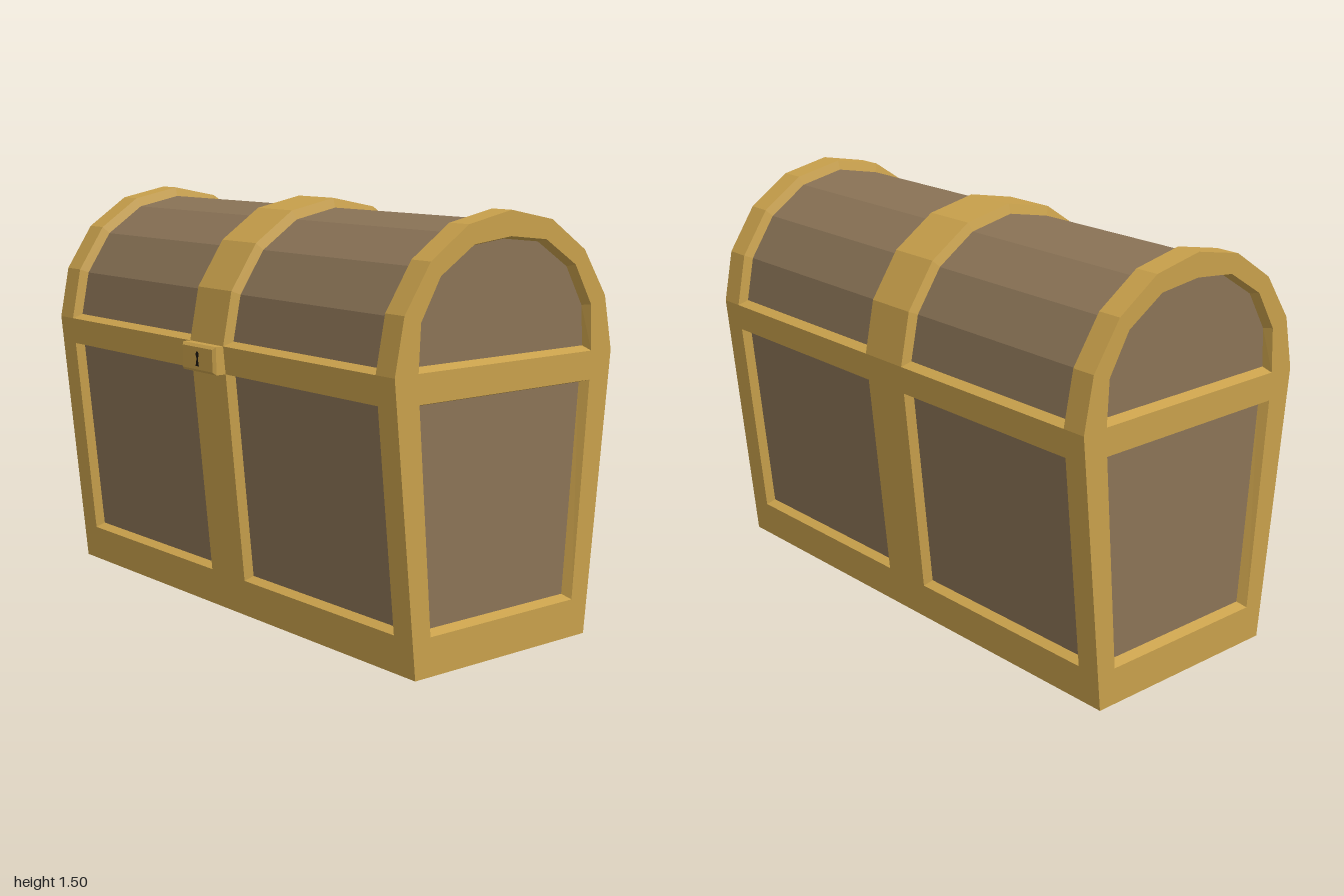
import * as THREE from 'three';

const gold = new THREE.MeshStandardMaterial({ color: 0xc8a04b, flatShading: true });
const wood = new THREE.MeshStandardMaterial({ color: 0x8a7356, flatShading: true });
const dark = new THREE.MeshStandardMaterial({ color: 0x1c1710, flatShading: true });

const INSET = 0.035;
const half = (y) => 0.4 + 0.1 * y; // half depth of the flared body
const toShape = (pts) => new THREE.Shape(pts.map(([u, v]) => new THREE.Vector2(u, v)));
const rect = (x0, x1, y0, y1) => [[x0, y0], [x1, y0], [x1, y1], [x0, y1]];
const mirrorU = (pts) => pts.map(([u, v]) => [-u, v]).reverse();

function addMesh(parent, name, geometry, material) {
  const mesh = new THREE.Mesh(geometry, material);
  mesh.name = name;
  parent.add(mesh);
}

function fromQuads(quads) {
  const pos = quads.flatMap(([a, b, c, d]) => [a, b, c, a, c, d]).flat();
  const g = new THREE.BufferGeometry();
  g.setAttribute('position', new THREE.Float32BufferAttribute(pos, 3));
  g.computeVertexNormals();
  return g;
}

// Flat outline with holes, placed in space by map(u, v, depth)
function flatFace(outline, holes, depth, map) {
  const shape = toShape(outline);
  shape.holes = holes.map(toShape);
  const g = new THREE.ShapeGeometry(shape);
  const p = g.attributes.position;
  for (let i = 0; i < p.count; i++) p.setXYZ(i, ...map(p.getX(i), p.getY(i), depth));
  g.computeVertexNormals();
  return g;
}

// A wall of the chest: gold frame, bevelled openings and recessed wood panels
function framedWall(name, outline, openings, map) {
  const wall = new THREE.Group();
  wall.name = name;
  addMesh(wall, 'frame', flatFace(outline, openings.map((o) => o.rim), 0, map), gold);
  for (const { rim, floor } of openings) {
    const n = rim.length;
    const sides = rim.map((p, i) => {
      const j = (i + 1) % n;
      return [map(...p, 0), map(...rim[j], 0), map(...floor[j], INSET), map(...floor[i], INSET)];
    });
    addMesh(wall, 'frameBevel', fromQuads(sides), gold);
    addMesh(wall, 'woodPanel', flatFace(floor, [], INSET, map), wood);
  }
  return wall;
}

// Band of the lid between two x positions with their own radii, over 8 facets
function lidBand(x0, r0, x1, r1) {
  const at = (x, r, i) => {
    const a = (i * Math.PI) / 8;
    return [x, 1 + r * Math.sin(a), r * Math.cos(a)];
  };
  return fromQuads(Array.from({ length: 8 }, (_, i) =>
    [at(x0, r0, i), at(x1, r1, i), at(x1, r1, i + 1), at(x0, r0, i + 1)]));
}

export function createModel() {
  const root = new THREE.Group();
  root.name = 'treasureChest';
  const chest = new THREE.Group();
  chest.name = 'chest';
  chest.position.z = -0.02;
  root.add(chest);

  // Front and back walls
  const rim = rect(0.1, 0.91, 0.135, 0.9);
  const floor = rect(0.11, 0.9, 0.15, 0.893);
  const longOpenings = [{ rim, floor }, { rim: mirrorU(rim), floor: mirrorU(floor) }];
  const longOutline = rect(-1, 1, 0, 1);
  chest.add(framedWall('frontWall', longOutline, longOpenings, (u, v, d) => [u, v, half(v) - d]));
  chest.add(framedWall('backWall', longOutline, longOpenings, (u, v, d) => [-u, v, d - half(v)]));

  // End walls with a tapered panel and an arched panel
  const arc = Array.from({ length: 9 }, (_, i) => {
    const a = (i * Math.PI) / 8;
    return [0.5 * Math.cos(a), 1 + 0.5 * Math.sin(a)];
  });
  const endOutline = [[-0.4, 0], [0.4, 0], ...arc];
  const arch = (right, top) => [...right, [0, top], ...mirrorU(right)];
  const endOpenings = [
    {
      rim: [[-0.335, 0.135], [0.335, 0.135], [0.395, 0.905], [-0.395, 0.905]],
      floor: [[-0.32, 0.15], [0.32, 0.15], [0.38, 0.895], [-0.38, 0.895]],
    },
    {
      rim: arch([[0.4, 1.005], [0.392, 1.165], [0.31, 1.305], [0.165, 1.397]], 1.415),
      floor: arch([[0.392, 1.02], [0.383, 1.16], [0.303, 1.297], [0.16, 1.388]], 1.405),
    },
  ];
  chest.add(framedWall('leftEnd', endOutline, endOpenings, (u, v, d) => [1 - d, v, -u]));
  chest.add(framedWall('rightEnd', endOutline, endOpenings, (u, v, d) => [d - 1, v, u]));

  // Rounded lid: gold straps, bevels and sunken wood between them
  const R = 0.5, r = R - INSET;
  const profile = [[-1, R], [-0.91, R], [-0.9, r], [-0.11, r], [-0.1, R],
    [0.1, R], [0.11, r], [0.9, r], [0.91, R], [1, R]];
  const lid = new THREE.Group();
  lid.name = 'lid';
  chest.add(lid);
  for (let i = 0; i < profile.length - 1; i++) {
    const [x0, r0] = profile[i], [x1, r1] = profile[i + 1];
    const isWood = r0 === r && r1 === r;
    const name = isWood ? 'lidWood' : r0 === r1 ? 'lidStrap' : 'strapBevel';
    addMesh(lid, name, lidBand(x0, r0, x1, r1), isWood ? wood : gold);
  }

  // Sloping ledges where the lid wood meets the body, front and back
  for (const [a, b] of [[0.1, 0.91], [-0.91, -0.1]]) {
    const ledge = [[a, 1, R], [b, 1, R], [b - 0.01, 1.015, r - 0.003], [a + 0.01, 1.015, r - 0.003]];
    const turned = ledge.map(([x, y, z]) => [-x, y, -z]);
    addMesh(lid, 'lidLedge', fromQuads([ledge, turned]), gold);
  }

  // Underside with two flush wood panels
  const under = (u, v, d) => [u, d, -v * -1];
  const base = [rect(0.1, 0.9, -0.335, 0.335), rect(-0.9, -0.1, -0.335, 0.335)];
  addMesh(chest, 'baseFrame', flatFace(rect(-1, 1, -0.4, 0.4), base, 0, under), gold);
  for (const b of base) addMesh(chest, 'basePanel', flatFace(b, [], 0, under), wood);

  // Lock plate with chamfered edges and a keyhole
  const plate = new THREE.ExtrudeGeometry(toShape(rect(-0.09, 0.09, 0.91, 0.99)), {
    depth: 0.07, bevelSize: 0.01, bevelThickness: 0.01, bevelSegments: 1,
  });
  plate.translate(0, 0, 0.46);
  addMesh(chest, 'lockPlate', plate, gold);
  const keyhole = toShape([[-0.01, 0.922], [0.01, 0.922], [0.004, 0.95], [0.01, 0.962],
    [0.006, 0.974], [-0.006, 0.974], [-0.01, 0.962], [-0.004, 0.95]]);
  const hole = new THREE.ShapeGeometry(keyhole);
  hole.translate(0, 0, 0.541);
  addMesh(chest, 'keyhole', hole, dark);

  return root;
}
